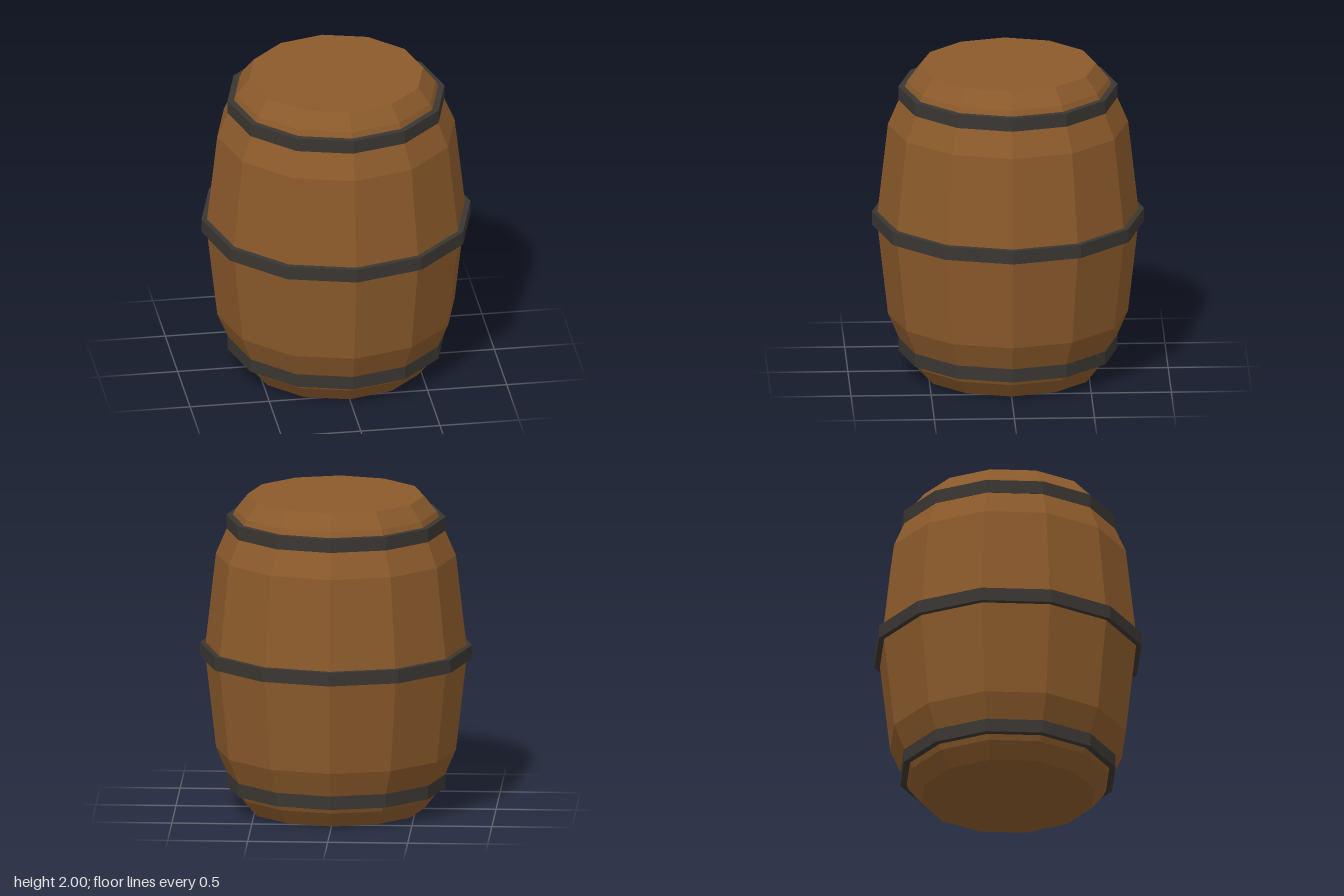
import * as THREE from 'three';

const SIDES = 12;

// Faceted solid of revolution from [radius, y] pairs, listed bottom to top
function turned(name, profile, color) {
  const points = profile.map(([r, y]) => new THREE.Vector2(r, y));
  const mesh = new THREE.Mesh(
    new THREE.LatheGeometry(points, SIDES),
    new THREE.MeshStandardMaterial({ color, flatShading: true })
  );
  mesh.name = name;
  return mesh;
}

export function createModel() {
  const barrel = new THREE.Group();
  barrel.name = 'barrel';

  // Wooden body with closed ends, mirrored about its middle
  const lower = [[0, 0], [0.55, 0], [0.63, 0.1], [0.75, 0.38]];
  const upper = lower.map(([r, y]) => [r, 2 - y]).reverse();
  barrel.add(turned('woodenBody', [...lower, [0.82, 1], ...upper], 0x8b5a2b));

  // Iron hoops: name, centre height, inner and outer radius
  const hoops = [
    ['bottomHoop', 0.178, 0.64, 0.685],
    ['middleHoop', 1.005, 0.81, 0.85],
    ['topHoop', 1.822, 0.64, 0.685],
  ];
  const half = 0.043;
  for (const [name, y, inner, outer] of hoops) {
    barrel.add(turned(name, [
      [inner, y - half], [outer, y - half],
      [outer, y + half], [inner, y + half], [inner, y - half],
    ], 0x3a3632));
  }

  return barrel;
}
